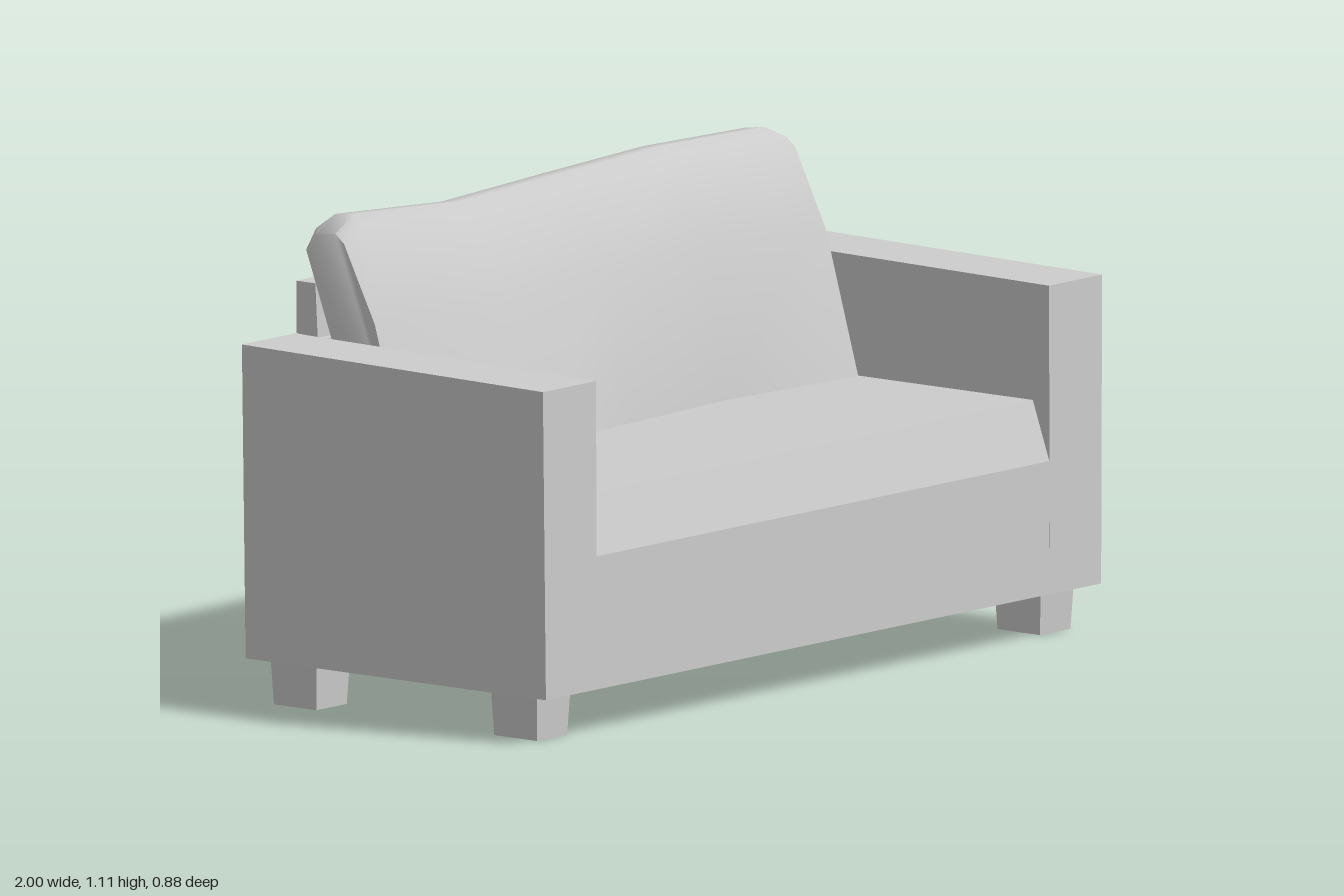
import * as THREE from 'three';
import { toCreasedNormals } from 'three/addons/utils/BufferGeometryUtils.js';

// Skins a row of cross-sections running along +x. Each section lists [x, y, z]
// from the front bottom over the top to the back bottom.
function loft(sections, crease) {
  const n = sections[0].length;
  const last = (sections.length - 1) * n;
  const index = [];
  for (let i = 0; i < sections.length - 1; i++) {
    for (let j = 0; j < n; j++) {
      const k = (j + 1) % n;
      const a = i * n + j, b = i * n + k, c = b + n, d = a + n;
      index.push(a, d, c, a, c, b);
    }
  }
  for (let j = 1; j < n - 1; j++) {
    index.push(0, j, j + 1, last, last + j + 1, last + j);
  }
  const geometry = new THREE.BufferGeometry();
  geometry.setAttribute('position', new THREE.Float32BufferAttribute(sections.flat(2), 3));
  geometry.setIndex(index);
  return toCreasedNormals(geometry, crease);
}

// Straight block with one (y, z) profile between two x positions
function block(x0, x1, profile) {
  return loft([x0, x1].map((x) => profile.map(([y, z]) => [x, y, z])), 0.1);
}

export function createModel() {
  const sofa = new THREE.Group();
  sofa.name = 'sofa';
  const fabric = new THREE.MeshStandardMaterial({ color: 0xcccccc });
  fabric.name = 'light grey';
  const add = (name, geometry) => {
    const mesh = new THREE.Mesh(geometry, fabric);
    mesh.name = name;
    sofa.add(mesh);
    return mesh;
  };

  // Seat block with a sloping front lip
  add('seat', block(-0.81, 0.81, [
    [0.105, 0.44], [0.41, 0.438], [0.545, 0.39], [0.545, -0.43], [0.105, -0.435],
  ]));

  // Back panel
  add('backPanel', block(-0.805, 0.805, [
    [0.5, -0.36], [0.945, -0.385], [0.945, -0.44], [0.5, -0.437],
  ]));
  add('lowerBack', block(-0.81, 0.81, [
    [0.105, -0.4], [0.82, -0.36], [0.825, -0.44], [0.105, -0.435],
  ]));

  // Arms, rising slightly to the back and flaring slightly to the top
  const armProfile = [[0.105, 0.44], [0.812, 0.437], [0.825, -0.44], [0.105, -0.435]];
  const armSide = (x, flare) => armProfile.map(([y, z]) => [y > 0.5 ? x + flare : x, y, z]);
  add('rightArm', loft([armSide(-0.993, -0.007), armSide(-0.81, 0)], 0.1));
  add('leftArm', loft([armSide(0.81, 0), armSide(0.993, 0.007)], 0.1));

  // Soft leaning cushion: x, front bottom z, bulge y, bulge z, top y, back z
  const stations = [
    [-0.807, -0.115, 0.87, -0.21, 1.065, -0.41],
    [-0.74, -0.11, 0.88, -0.2, 1.103, -0.435],
    [-0.36, -0.095, 0.84, -0.2, 1.08, -0.435],
    [0, -0.12, 0.88, -0.198, 1.096, -0.435],
    [0.36, -0.145, 0.895, -0.19, 1.11, -0.435],
    [0.73, -0.118, 0.88, -0.2, 1.103, -0.435],
    [0.807, -0.115, 0.87, -0.21, 1.07, -0.41],
  ];
  add('backCushion', loft(stations.map(([x, bottomZ, midY, midZ, topY, backZ]) => [
    [x, 0.54, bottomZ],
    [x, midY, midZ],
    [x, topY - 0.02, -0.3],
    [x, topY, -0.325],
    [x, topY - 0.007, -0.38],
    [x, topY - 0.045, backZ],
    [x, 0.54, -0.23],
  ]), 1.1));

  // Four tapered feet
  for (const sx of [-1, 1]) {
    for (const z of [0.32, -0.322]) {
      const foot = new THREE.BoxGeometry(0.12, 0.11, 0.135);
      const p = foot.attributes.position;
      for (let i = 0; i < p.count; i++) {
        if (p.getY(i) < 0) p.setXYZ(i, p.getX(i) * 0.9, p.getY(i), p.getZ(i) * 0.92);
      }
      add('foot', toCreasedNormals(foot, 0.3)).position.set(sx * 0.9, 0.055, z);
    }
  }
  return sofa;
}
